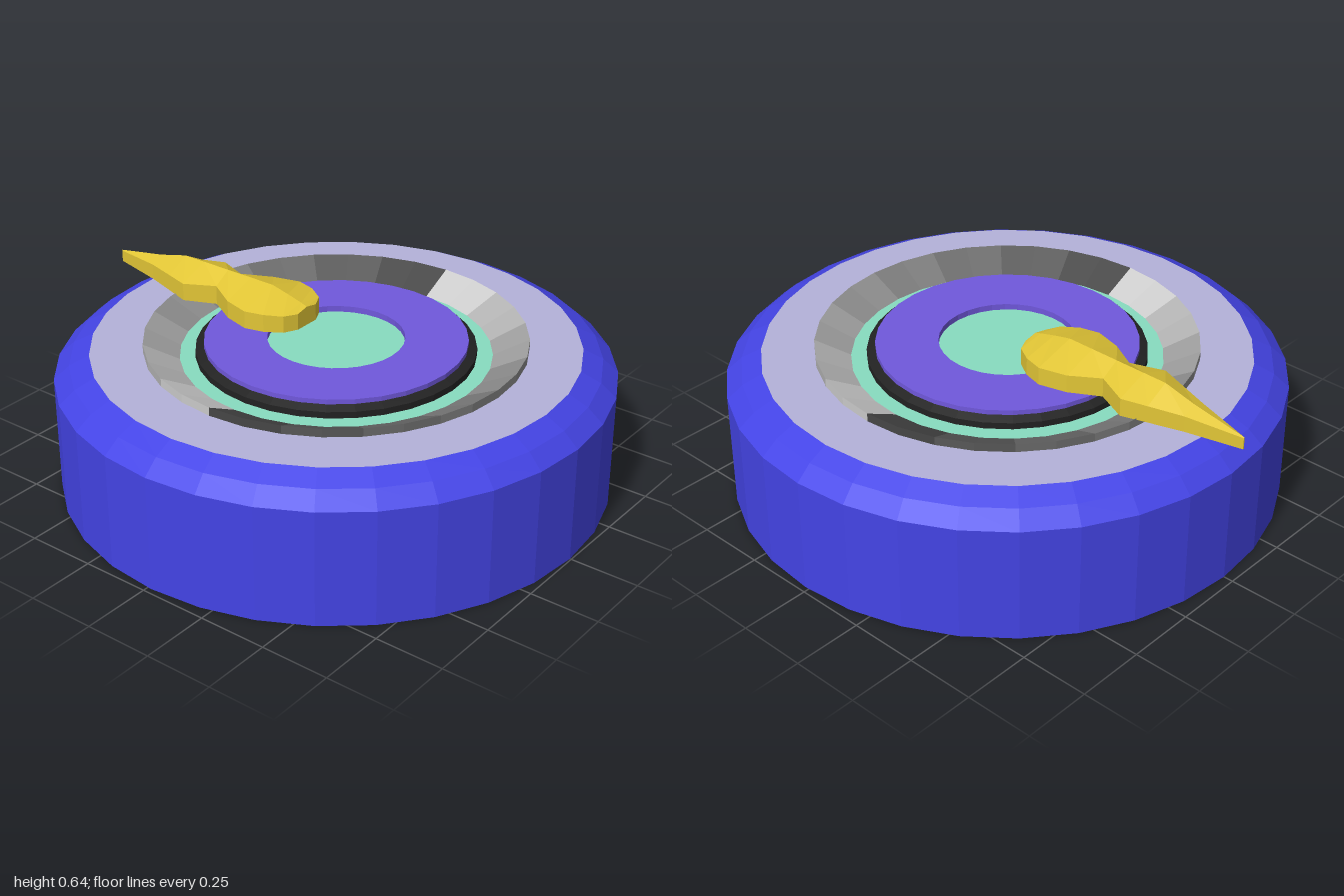
import * as THREE from 'three';

const SIDES = 32;

function mat(color, extra = {}) {
  return new THREE.MeshStandardMaterial({ color, flatShading: true, ...extra });
}

// Turned part from [radius, height] pairs, listed from the bottom outside upwards
function turned(name, points, color, start = 0, sweep = Math.PI * 2) {
  const sides = Math.round((SIDES * sweep) / (Math.PI * 2));
  const profile = points.map(([r, y]) => new THREE.Vector2(r, y));
  const mesh = new THREE.Mesh(
    new THREE.LatheGeometry(profile, sides, start, sweep),
    mat(color, { side: THREE.DoubleSide })
  );
  mesh.name = name;
  return mesh;
}

// Pointer lofted from stations [z, half width, edge height, ridge height]
function pointerGeometry() {
  const base = 0.53;
  const stations = [
    [-0.115, 0.05, 0.59, 0.6],
    [-0.14, 0.1, 0.592, 0.608],
    [-0.2, 0.137, 0.595, 0.624],
    [-0.27, 0.155, 0.595, 0.64],
    [-0.37, 0.128, 0.595, 0.64],
    [-0.475, 0.067, 0.6, 0.64],
    [-0.59, 0.117, 0.595, 0.64],
    [-0.68, 0.088, 0.592, 0.64],
    [-0.8, 0.05, 0.588, 0.61],
    [-1.0, 0.002, 0.572, 0.575],
  ];
  const pos = [];
  const index = [];
  for (const [z, w, edge, ridge] of stations) {
    pos.push(-w, base, z, -w, edge, z, 0, ridge, z, w, edge, z, w, base, z);
  }
  const n = 5;
  for (let s = 0; s < stations.length - 1; s++) {
    for (let i = 0; i < n; i++) {
      const a = s * n + i;
      const b = s * n + ((i + 1) % n);
      index.push(a, b, b + n, a, b + n, a + n);
    }
  }
  // End caps
  const last = (stations.length - 1) * n;
  for (let i = 1; i < n - 1; i++) {
    index.push(0, i + 1, i, last, last + i, last + i + 1);
  }
  const geo = new THREE.BufferGeometry();
  geo.setAttribute('position', new THREE.Float32BufferAttribute(pos, 3));
  geo.setIndex(index);
  geo.computeVertexNormals();
  return geo;
}

export function createModel() {
  const model = new THREE.Group();
  model.name = 'dial';

  const body = new THREE.Group();
  body.name = 'body';
  body.position.z = 0.015;
  model.add(body);

  // Drum with a two-step bevel, its underside and its top face
  body.add(
    turned('drum', [[0.98, 0], [0.98, 0.42], [0.925, 0.47], [0.855, 0.505]], 0x4444e6),
    turned('underside', [[0, 0], [0.98, 0]], 0xcccccc),
    turned('topFace', [[0.855, 0.505], [0.66, 0.505]], 0xb4b2da)
  );

  // Funnel-shaped ring: two half turns, each stepping from dark to light
  const ring = new THREE.Group();
  ring.name = 'shadedRing';
  const steps = 8;
  const step = Math.PI / steps;
  for (let half = 0; half < 2; half++) {
    for (let i = 0; i < steps; i++) {
      const level = Math.round(0x46 + (0x80 * i) / (steps - 1));
      const start = -Math.PI / 2 + half * Math.PI + i * step;
      ring.add(turned('ringSegment', [[0.67, 0.5], [0.67, 0.535], [0.545, 0.472]],
        level * 0x010101, start, step));
    }
  }
  body.add(ring);

  // Sunken floor, dark collar, raised band and centre disc
  body.add(
    turned('floor', [[0.55, 0.472], [0.48, 0.472]], 0x88dcc0),
    turned('collar', [[0.49, 0.47], [0.49, 0.495], [0.455, 0.51]], 0x222222),
    turned('band', [[0.46, 0.505], [0.46, 0.525], [0.24, 0.525], [0.24, 0.5]], 0x7058dc),
    turned('centreDisc', [[0.245, 0.503], [0, 0.503]], 0x88dcc0)
  );

  // Ridged pointer reaching past the back rim
  const pointer = new THREE.Mesh(pointerGeometry(), mat(0xe2c636, { side: THREE.DoubleSide }));
  pointer.name = 'pointer';
  model.add(pointer);

  return model;
}
